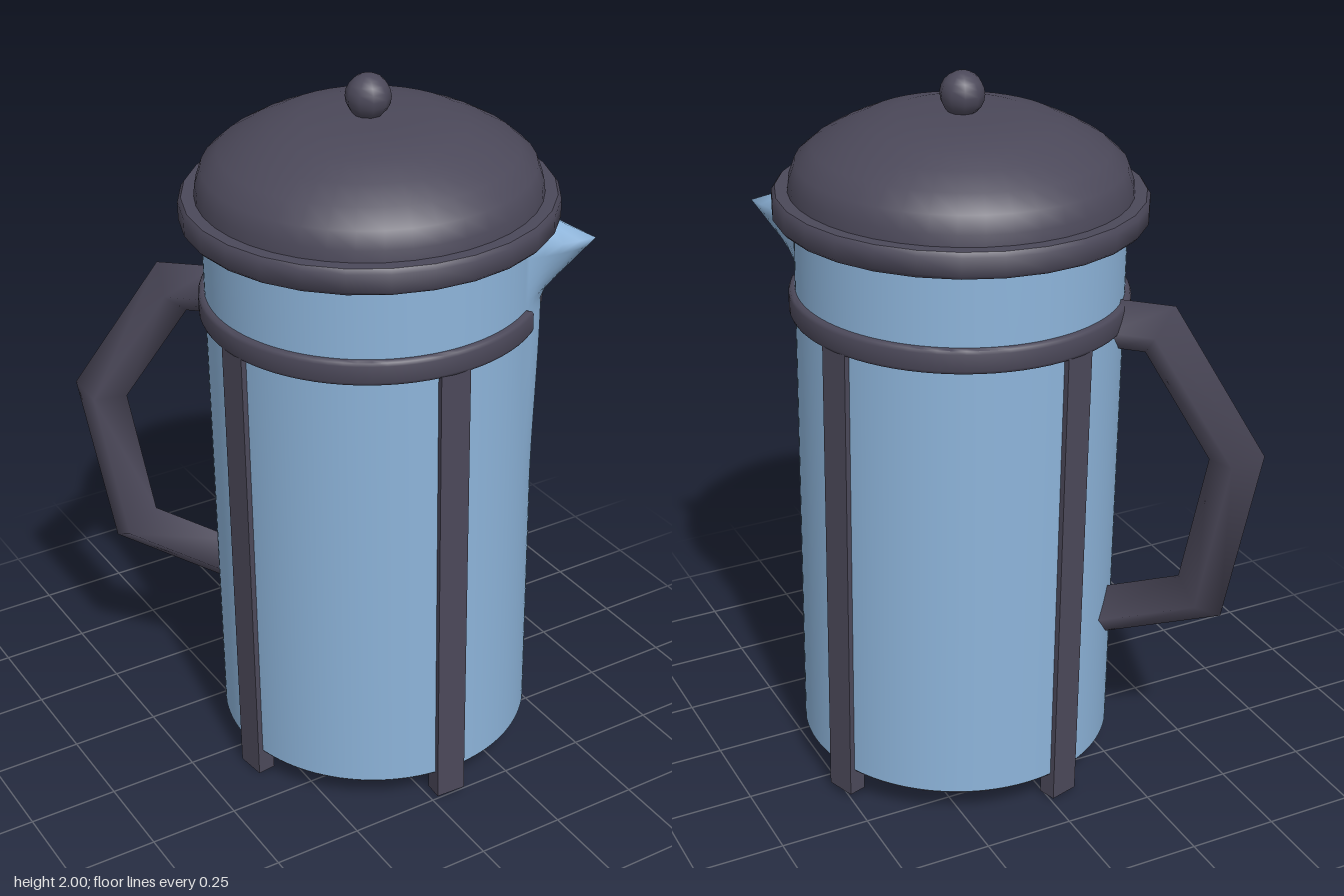
import * as THREE from 'three';
import { mergeVertices, toCreasedNormals } from 'three/addons/utils/BufferGeometryUtils.js';

const rad = THREE.MathUtils.degToRad;

// Angles are measured in the ground plane from +x towards +z
const SPOUT = rad(42), HANDLE = rad(223), LEGS = [-19, 93.5, 173.5, 253].map(rad);

function weld(geo) {
  geo.deleteAttribute('uv');
  geo.deleteAttribute('normal');
  const g = mergeVertices(geo, 1e-4);
  g.computeVertexNormals();
  return g;
}

// Cylinder wall pulled outward into a pointed spout, with a faint ridge below it
function bodyGeometry() {
  const bottom = 0.09, height = 1.56;
  const geo = weld(new THREE.CylinderGeometry(0.44, 0.44, height, 120, 52, true)
    .translate(0, bottom + height / 2, 0));
  const p = geo.attributes.position;
  for (let i = 0; i < p.count; i++) {
    const x = p.getX(i), y = p.getY(i), z = p.getZ(i);
    const away = Math.abs(Math.atan2(z, x) - SPOUT);
    const side = Math.max(0, 1 - away / rad(12));
    let out;
    if (y > 1.59) out = 0.15 * (1.65 - y) / 0.06;
    else out = Math.max(0.15 * (1 - (1.59 - y) / 0.18), 0.014 * THREE.MathUtils.smoothstep(y, 0.8, 1.4));
    const k = 1 + Math.max(0, out) * side / 0.44;
    p.setXYZ(i, x * k, y, z * k);
  }
  geo.computeVertexNormals();
  return geo;
}

// Square bar, corner outward, swept along a mitred path of [radius, height] points
function handleGeometry(path, half) {
  const pts = path.map(([r, y]) => new THREE.Vector2(r, y));
  const pos = [], index = [];
  pts.forEach((p, i) => {
    const a = pts[Math.max(i - 1, 0)], b = pts[Math.min(i + 1, pts.length - 1)];
    const d1 = (i ? p.clone().sub(a) : b.clone().sub(p)).normalize();
    const d2 = (i < pts.length - 1 ? b.clone().sub(p) : d1.clone()).normalize();
    const t = d1.clone().add(d2).normalize();
    const n = new THREE.Vector2(-t.y, t.x).multiplyScalar(half / t.dot(d1));
    pos.push(p.x + n.x, p.y + n.y, 0, p.x, p.y, half, p.x - n.x, p.y - n.y, 0, p.x, p.y, -half);
    if (i) for (let k = 0; k < 4; k++) {
      const c = (i - 1) * 4 + k, d = (i - 1) * 4 + (k + 1) % 4;
      index.push(c, d, c + 4, d, d + 4, c + 4);
    }
  });
  const geo = new THREE.BufferGeometry();
  geo.setAttribute('position', new THREE.Float32BufferAttribute(pos, 3));
  geo.setIndex(index);
  geo.computeVertexNormals();
  return geo;
}

// Open ring around the body, leaving a gap for the spout
function bandGeometry() {
  const start = rad(56), end = rad(31.5 + 360);
  const shape = new THREE.Shape();
  shape.absarc(0, 0, 0.445, start, end, false);
  shape.absarc(0, 0, 0.425, end, start, true);
  const geo = new THREE.ExtrudeGeometry(shape, {
    depth: 0.045, curveSegments: 36, bevelSize: 0.012, bevelThickness: 0.012, bevelSegments: 2,
  });
  geo.rotateX(Math.PI / 2).translate(0, 1.408, 0);
  return toCreasedNormals(geo, rad(50));
}

const lathe = (points, sides) =>
  new THREE.LatheGeometry(points.map(([x, y]) => new THREE.Vector2(x, y)), sides);

export function createModel() {
  const glass = new THREE.MeshStandardMaterial({ color: 0x8db4da, side: THREE.DoubleSide });
  glass.name = 'blueGlass';
  const dark = new THREE.MeshStandardMaterial({ color: 0x4b4859, side: THREE.DoubleSide });
  dark.name = 'darkPlastic';

  const model = new THREE.Group();
  model.name = 'coffeePress';
  // The whole press leans very slightly
  const press = new THREE.Group();
  press.name = 'press';
  press.position.set(0.087, 0, 0.05);
  press.rotation.z = 0.018;
  model.add(press);

  const add = (name, geo, mat) => {
    const mesh = new THREE.Mesh(geo, mat);
    mesh.name = name;
    press.add(mesh);
    return mesh;
  };

  add('glassBody', bodyGeometry(), glass);

  // Recessed underside
  add('base', toCreasedNormals(lathe([[0.438, 0.086], [0.425, 0.086], [0.425, 0.18], [0, 0.18]], 48), rad(40)), dark);

  // Lid: thick rim, dome and knob
  add('lidRim', toCreasedNormals(lathe([[0, 1.62], [0.44, 1.62], [0.488, 1.62], [0.497, 1.63],
    [0.497, 1.678], [0.488, 1.69], [0.44, 1.69]], 28), rad(50)), dark);
  add('lidDome', lathe([[0.455, 1.685], [0.451, 1.72], [0.435, 1.765], [0.39, 1.805], [0.33, 1.84],
    [0.26, 1.872], [0.18, 1.89], [0.09, 1.894], [0, 1.895]], 40), dark);
  add('knob', new THREE.SphereGeometry(0.06, 10, 10).translate(0, 1.941, 0), dark);

  add('band', bandGeometry(), dark);

  // Four legs running from the band to the ground
  for (const angle of LEGS) {
    const leg = add('leg', new THREE.BoxGeometry(0.052, 1.36, 0.085).translate(0.427, 0.693, 0), dark);
    leg.rotation.y = -angle;
  }

  // Angular handle opposite the spout
  const handle = add('handle', handleGeometry(
    [[0.42, 1.36], [0.55, 1.36], [0.775, 1.02], [0.70, 0.585], [0.42, 0.49]], 0.07), dark);
  handle.rotation.y = -HANDLE;

  return model;
}
